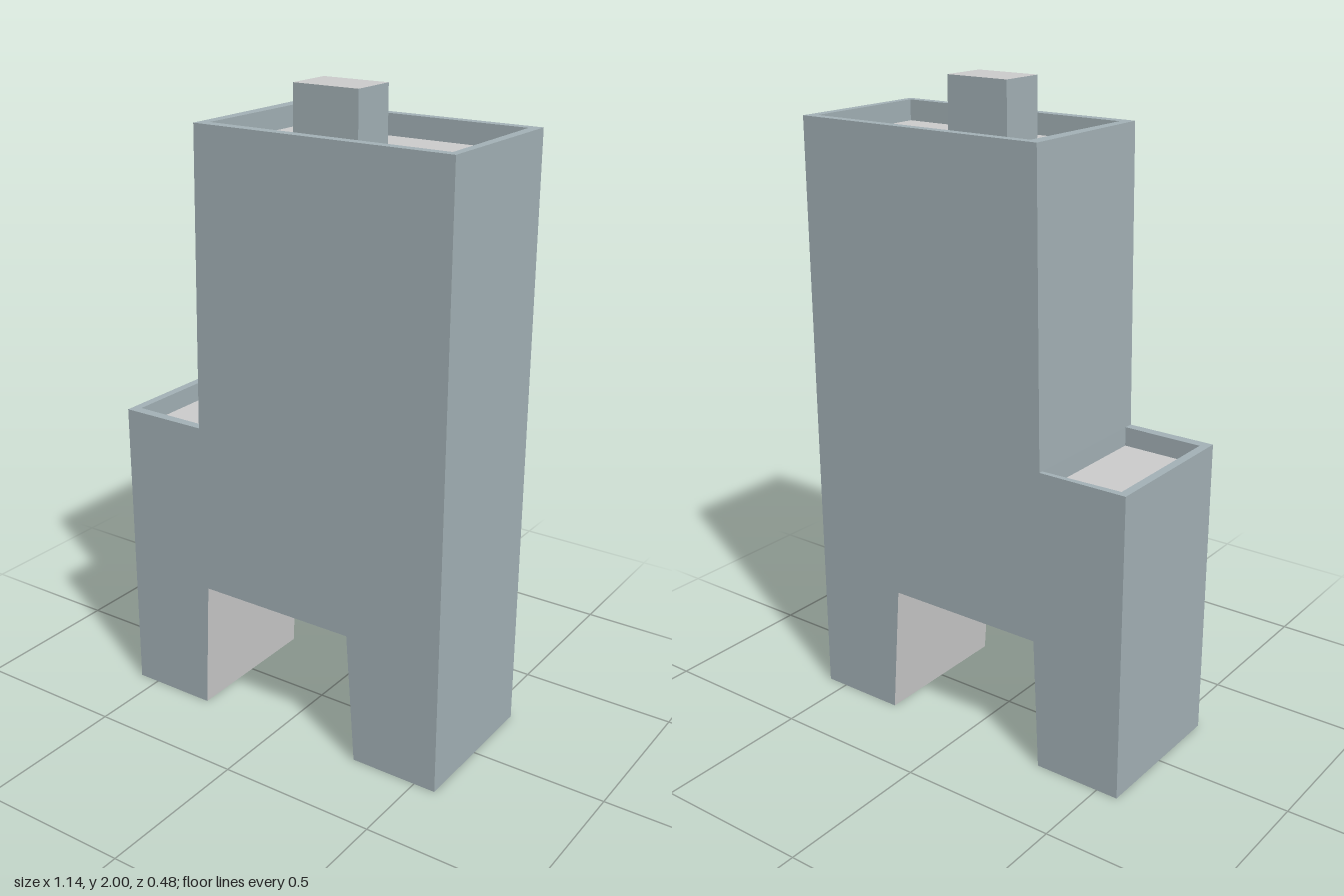
import * as THREE from 'three';

const wallMat = new THREE.MeshStandardMaterial({ color: 0xa3b1b6 });
const greyMat = new THREE.MeshStandardMaterial({ color: 0xcccccc });
const HALF_DEPTH = 0.242;

// Front outline, counter-clockwise
const outline = [
  [-0.57, 0], [-0.288, 0], [-0.268, 0.42], [0.255, 0.42], [0.285, 0], [0.57, 0],
  [0.57, 1.88], [-0.268, 1.88], [-0.285, 0.96], [-0.57, 0.96],
];

// Flat-shaded geometry from four-cornered faces
function quads(faces) {
  const geo = new THREE.BufferGeometry();
  const pos = faces.flatMap(([a, b, c, d]) => [a, b, c, a, c, d].flat());
  geo.setAttribute('position', new THREE.Float32BufferAttribute(pos, 3));
  geo.computeVertexNormals();
  return geo;
}

// Faces joining two rings of [x, z] points, each at its own height
function band(a, ya, b, yb, closed = true) {
  const faces = [];
  for (let i = 0; i < a.length - (closed ? 0 : 1); i++) {
    const j = (i + 1) % a.length;
    const at = ([x, z], y) => [x, y, z];
    faces.push([at(a[i], ya), at(b[i], yb), at(b[j], yb), at(a[j], ya)]);
  }
  return quads(faces);
}

const slab = (ring, y) => quads([ring.map(([x, z]) => [x, y, z])]);

// Surfaces swept front to back along chosen outline edges
function sweep(edges) {
  return quads(edges.map((i) => {
    const [ax, ay] = outline[i];
    const [bx, by] = outline[(i + 1) % outline.length];
    return [[ax, ay, HALF_DEPTH], [ax, ay, -HALF_DEPTH], [bx, by, -HALF_DEPTH], [bx, by, HALF_DEPTH]];
  }));
}

function facade(mirror) {
  const shape = new THREE.Shape(outline.map(([x, y]) => new THREE.Vector2(x * mirror, y)));
  const geo = new THREE.ShapeGeometry(shape).translate(0, 0, HALF_DEPTH);
  return mirror < 0 ? geo.rotateY(Math.PI) : geo;
}

export function createModel() {
  const model = new THREE.Group();
  model.name = 'towerBlock';
  const add = (name, geo, mat, parent = model) => {
    const mesh = new THREE.Mesh(geo, mat);
    mesh.name = name;
    parent.add(mesh);
  };

  // Walls and passage
  add('frontWall', facade(1), wallMat);
  add('backWall', facade(-1), wallMat);
  add('sideWalls', sweep([5, 7, 9]), wallMat);
  add('legBases', sweep([0, 4]), wallMat);
  add('passageLining', sweep([1, 2, 3]), greyMat);

  // Sunken roofs behind parapets
  const D = HALF_DEPTH;
  const roofs = [
    {
      name: 'towerRoof', top: 1.88, floor: 1.815, closed: true,
      outer: [[-0.268, D], [0.57, D], [0.57, -D], [-0.268, -D]],
      inner: [[-0.237, 0.207], [0.545, 0.213], [0.539, -0.212], [-0.227, -0.212]],
    },
    {
      name: 'lowerRoof', top: 0.96, floor: 0.9, closed: false,
      outer: [[-0.285, -D], [-0.57, -D], [-0.57, D], [-0.285, D]],
      inner: [[-0.285, -0.228], [-0.543, -0.22], [-0.543, 0.21], [-0.285, 0.213]],
    },
  ];
  for (const { name, top, floor, closed, outer, inner } of roofs) {
    const roof = new THREE.Group();
    roof.name = name;
    add('parapetRim', band(inner, top, outer, top, closed), wallMat, roof);
    add('parapetInside', band(inner, floor, inner, top), wallMat, roof);
    add('roofFloor', slab(inner, floor), greyMat, roof);
    model.add(roof);
  }

  // Rooftop hut
  const hut = new THREE.Group();
  hut.name = 'rooftopHut';
  const plan = [[0, 0.138], [0.215, 0.141], [0.215, -0.008], [0, -0.011]];
  add('hutWalls', band(plan, 2, plan, 1.815), wallMat, hut);
  add('hutRoof', slab(plan, 2), greyMat, hut);
  model.add(hut);

  return model;
}
